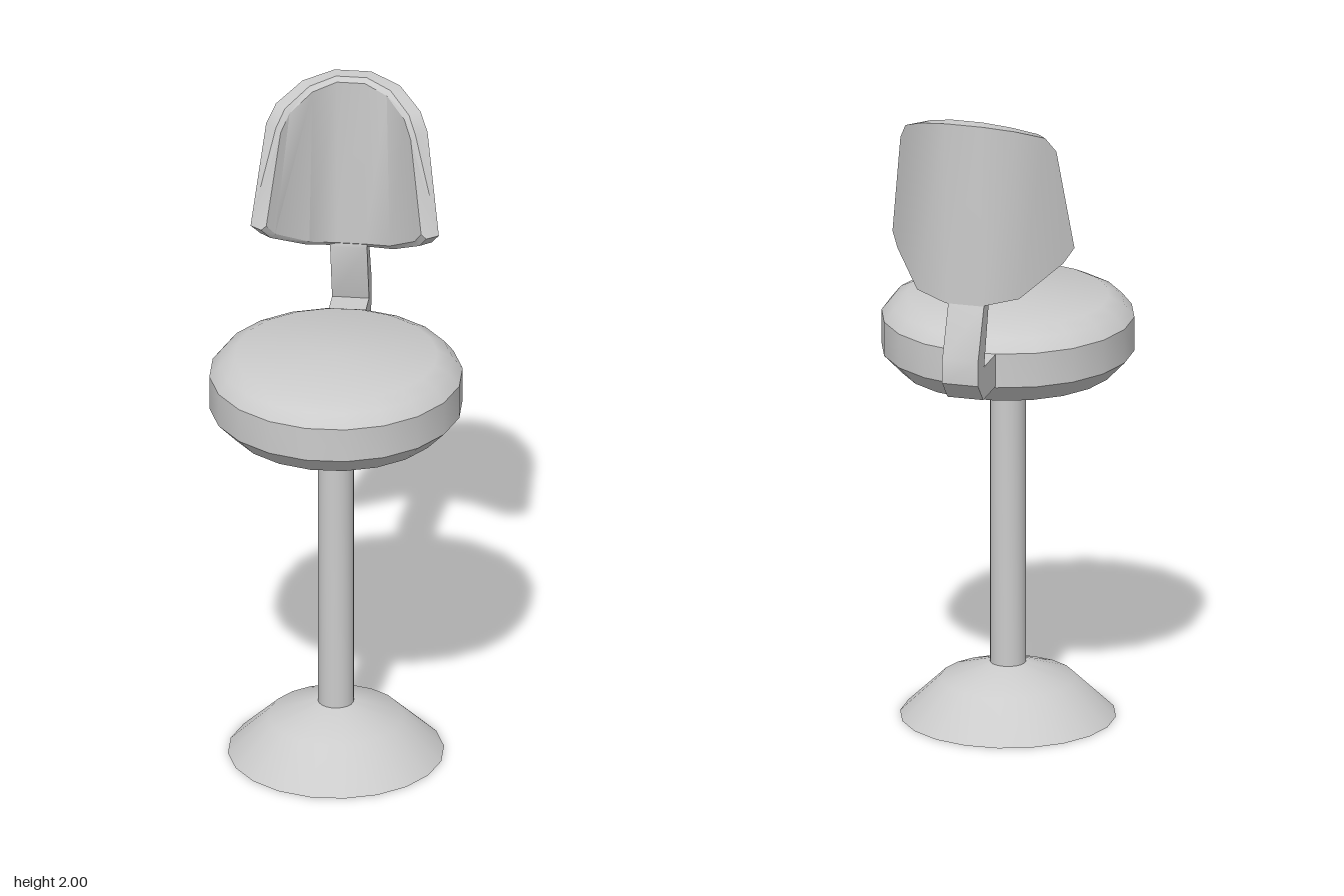
import * as THREE from 'three';
import { toCreasedNormals } from 'three/addons/utils/BufferGeometryUtils.js';

const CREASE = 0.6;
const AXIS_Z = 0.095; // the column, seat and base share this axis

function addMesh(group, name, geometry) {
  const material = new THREE.MeshStandardMaterial({ color: 0xcccccc });
  const mesh = new THREE.Mesh(toCreasedNormals(geometry, CREASE), material);
  mesh.name = name;
  group.add(mesh);
  return mesh;
}

function turned(group, name, profile) {
  const points = profile.map(([r, y]) => new THREE.Vector2(r, y));
  const start = THREE.MathUtils.degToRad(11);
  addMesh(group, name, new THREE.LatheGeometry(points, 20, start)).position.z = AXIS_Z;
}

// Plan curve of the backrest: z of the rear face and its forward normal at x
function planCurve(x) {
  const xs = [0, 0.055, 0.16, 0.28];
  const zs = [-0.4, -0.4, -0.35, -0.19];
  const angles = [0, 0.22, 0.67, 0.93];
  const a = Math.abs(x);
  let i = 0;
  while (i < 2 && a > xs[i + 1]) i++;
  const t = (a - xs[i]) / (xs[i + 1] - xs[i]);
  const angle = THREE.MathUtils.lerp(angles[i], angles[i + 1], t);
  return {
    z: THREE.MathUtils.lerp(zs[i], zs[i + 1], t),
    nx: -Math.sign(x) * Math.sin(angle),
    nz: Math.cos(angle),
  };
}

// Curved shell lofted from vertical slices, each a closed loop with a bevelled front rim
function backrestGeometry() {
  // bottom x, bottom y, top x, top y
  const half = [
    [0.055, 1.44, 0.055, 2.0],
    [0.157, 1.457, 0.145, 1.98],
    [0.255, 1.535, 0.215, 1.94],
    [0.28, 1.575, 0.24, 1.89],
  ];
  const mirrored = half.map(([bx, by, tx, ty]) => [-bx, by, -tx, ty]).reverse();
  const slices = [...mirrored, ...half];
  const positions = [];
  const index = [];
  const ring = 6;

  for (const [bx, by, tx, ty] of slices) {
    const put = (x, y, depth, inset) => {
      const px = x - Math.sign(x) * inset * Math.min(1, Math.abs(x) / 0.2);
      const c = planCurve(px);
      positions.push(px + c.nx * depth - 0.008, y, c.z + c.nz * depth);
    };
    put(bx, by, 0, 0);
    put(bx, by, 0.043, 0);
    put(bx, by + 0.014, 0.055, 0.006);
    put(tx, ty - 0.014, 0.055, 0.006);
    put(tx, ty, 0.043, 0);
    put(tx, ty, 0, 0);
  }
  const last = (slices.length - 1) * ring;
  for (let s = 0; s < last; s += ring) {
    for (let k = 0; k < ring; k++) {
      const a = s + k;
      const b = s + ((k + 1) % ring);
      index.push(a, a + ring, b + ring, a, b + ring, b);
    }
  }
  // End caps
  for (let k = 1; k < ring - 1; k++) {
    index.push(0, k, k + 1, last, last + k + 1, last + k);
  }
  const geometry = new THREE.BufferGeometry();
  geometry.setAttribute('position', new THREE.Float32BufferAttribute(positions, 3));
  geometry.setIndex(index);
  return geometry;
}

// Bent arm drawn in side profile as (z, y) and extruded across x
function bracketGeometry() {
  const outline = [
    [-0.26, 1.15], [-0.405, 1.15], [-0.46, 1.21], [-0.46, 1.285],
    [-0.395, 1.445], [-0.39, 1.46], [-0.35, 1.46], [-0.345, 1.44],
    [-0.395, 1.25], [-0.26, 1.25],
  ];
  const shape = new THREE.Shape(outline.map(([z, y]) => new THREE.Vector2(z, y)));
  const geometry = new THREE.ExtrudeGeometry(shape, { depth: 0.11, bevelEnabled: false });
  geometry.rotateY(-Math.PI / 2);
  geometry.translate(0.04, 0, 0);
  return geometry;
}

export function createModel() {
  const group = new THREE.Group();
  group.name = 'barStool';

  turned(group, 'base', [[0, 0], [0.32, 0], [0.2, 0.115], [0.05, 0.165], [0, 0.165]]);
  turned(group, 'column', [[0.053, 0.15], [0.053, 1.1]]);
  turned(group, 'seat', [
    [0, 1.085], [0.318, 1.085], [0.375, 1.145], [0.375, 1.25],
    [0.345, 1.288], [0.3, 1.31], [0, 1.312],
  ]);
  addMesh(group, 'backBracket', bracketGeometry());
  addMesh(group, 'backrest', backrestGeometry());
  return group;
}
